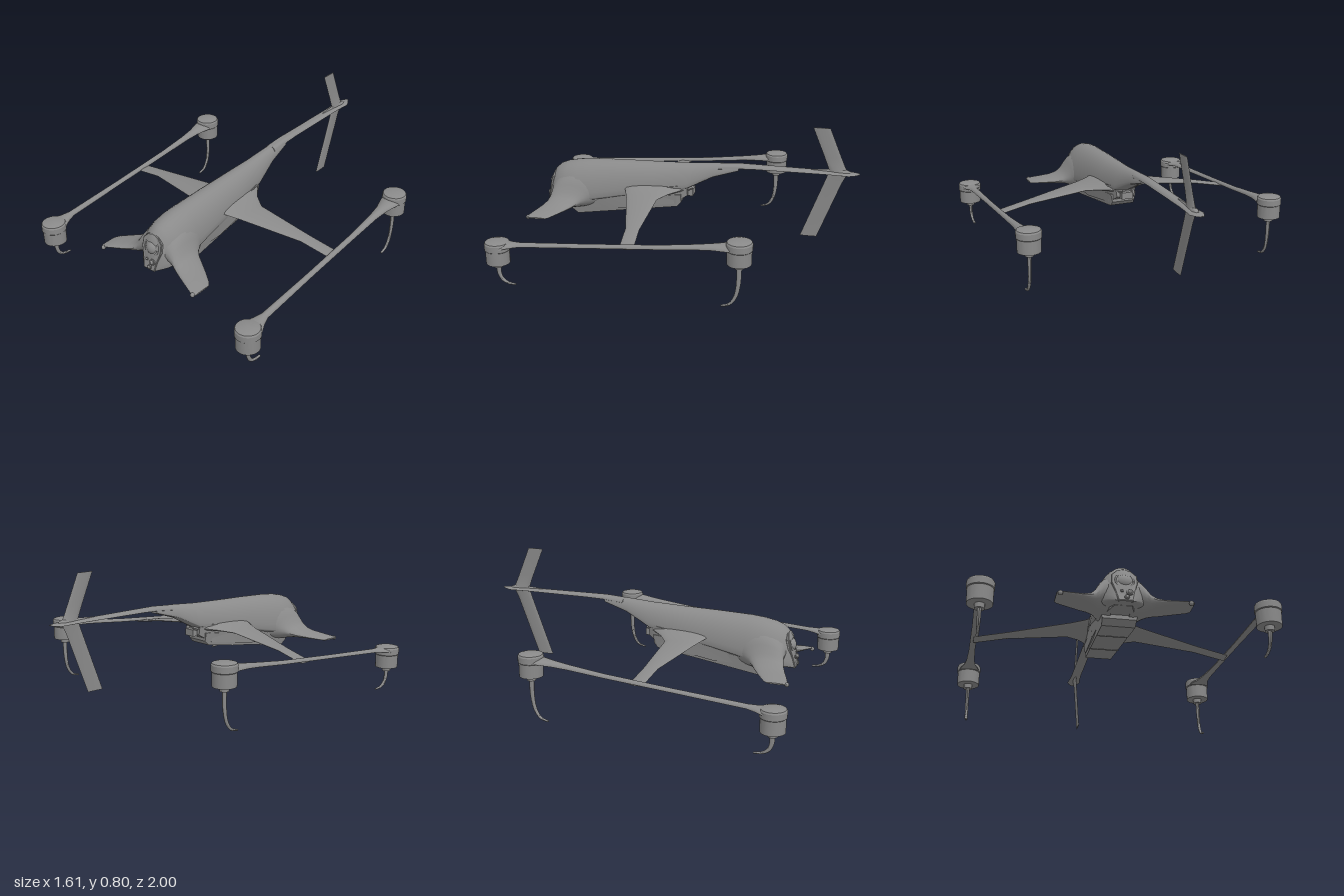
import * as THREE from 'three';
import { toCreasedNormals } from 'three/addons/utils/BufferGeometryUtils.js';

const material = new THREE.MeshStandardMaterial({ color: 0x8a8a8a });

function part(name, geometry, parent, x = 0, y = 0, z = 0) {
  const mesh = new THREE.Mesh(geometry, material);
  mesh.name = name;
  mesh.position.set(x, y, z);
  parent.add(mesh);
  return mesh;
}

// Skin a list of equal-length rings, cap both ends and face outwards.
function loft(rings, crease = 0.6) {
  const n = rings[0].length, pos = rings.flat(2), idx = [];
  for (let i = 0; i < rings.length - 1; i++) {
    for (let j = 0; j < n; j++) {
      const a = i * n + j, b = i * n + (j + 1) % n;
      idx.push(a, b, a + n, b, b + n, a + n);
    }
  }
  const last = (rings.length - 1) * n;
  for (let j = 1; j < n - 1; j++) idx.push(0, j + 1, j, last, last + j, last + j + 1);
  // signed volume decides the winding
  const p = (i) => new THREE.Vector3().fromArray(pos, i * 3);
  let volume = 0;
  for (let i = 0; i < idx.length; i += 3) volume += p(idx[i]).dot(p(idx[i + 1]).cross(p(idx[i + 2])));
  if (volume < 0) idx.reverse();
  const g = new THREE.BufferGeometry();
  g.setAttribute('position', new THREE.Float32BufferAttribute(pos, 3));
  g.setIndex(idx);
  return toCreasedNormals(g, crease);
}

// Domed section with a shallow underside: [z, top, bottom, halfWidth]
function domeRing([z, top, bottom, w], n = 40) {
  const base = bottom + (top - bottom) * 0.12;
  return Array.from({ length: n }, (_, i) => {
    const a = (i / n) * Math.PI * 2, s = Math.sin(a);
    return [w * Math.cos(a), base + s * (s > 0 ? top - base : base - bottom), z];
  });
}

// Box section: [z, top, bottom, halfWidthTop, halfWidthBottom]
const boxRing = ([z, top, bottom, wt, wb]) => [[wt, top, z], [-wt, top, z], [-wb, bottom, z], [wb, bottom, z]];

// Lens section: [x, zLeading, zTrailing, y, thickness]
function wingRing([x, zl, zt, y, t], n = 16) {
  return Array.from({ length: n }, (_, i) => {
    const a = (i / n) * Math.PI * 2;
    return [x, y + Math.sin(a) * t / 2, (zl + zt) / 2 + Math.cos(a) * (zl - zt) / 2];
  });
}

// Curved landing hook; dir gives the way the toe points along z.
function hookLeg(dir, height) {
  const curve = new THREE.CatmullRomCurve3([
    [0, 0, 0], [0, -height * 0.4, 0.002 * dir], [0, -height * 0.75, 0.018 * dir],
    [0, -height * 0.94, 0.05 * dir], [0, -height, 0.095 * dir],
  ].map((p) => new THREE.Vector3(...p)));
  const rings = [];
  for (let i = 0; i <= 20; i++) {
    const t = i / 20, c = curve.getPoint(t), d = curve.getTangent(t), r = 0.015 - 0.01 * t;
    rings.push(Array.from({ length: 12 }, (_, j) => {
      const a = (j / 12) * Math.PI * 2, u = r * Math.sin(a);
      return [c.x + (0.011 - 0.004 * t) * Math.cos(a), c.y - d.z * u, c.z + d.y * u];
    }));
  }
  return loft(rings);
}

// Motor pod with domed cap and small hub; origin at its bottom.
function motorPod(name, y, z, dir, parent) {
  const pod = new THREE.Group();
  pod.name = name;
  pod.position.set(0.735, y, z);
  const profile = [[0, -0.026], [0.025, -0.026], [0.026, 0], [0.066, 0], [0.067, 0.078], [0.071, 0.082],
    [0.071, 0.116], [0.066, 0.125], [0.045, 0.131], [0, 0.134]].map((p) => new THREE.Vector2(...p));
  part('motorHousing', toCreasedNormals(new THREE.LatheGeometry(profile, 40), 0.5), pod);
  part('landingHook', hookLeg(dir, y - 0.026), pod, 0, -0.02, 0);
  parent.add(pod);
}

function buildSide() {
  const side = new THREE.Group();
  part('mainWing', loft([
    [0.03, 0.40, -0.03, 0.39, 0.075], [0.08, 0.38, 0.04, 0.386, 0.055], [0.13, 0.36, 0.1, 0.376, 0.034],
    [0.2, 0.335, 0.15, 0.366, 0.024], [0.55, 0.24, 0.16, 0.322, 0.018], [0.735, 0.225, 0.145, 0.287, 0.012],
  ].map((r) => wingRing(r))), side);
  // Fore wing with a deep blended root
  part('foreWing', loft([
    [0.05, 0.84, 0.46, 0.35, 0.24], [0.1, 0.83, 0.54, 0.335, 0.19], [0.125, 0.83, 0.6, 0.315, 0.145],
    [0.145, 0.835, 0.635, 0.295, 0.1], [0.17, 0.843, 0.658, 0.282, 0.066], [0.21, 0.858, 0.682, 0.272, 0.044],
    [0.28, 0.885, 0.727, 0.262, 0.026], [0.34, 0.907, 0.77, 0.253, 0.016], [0.356, 0.898, 0.79, 0.25, 0.008],
  ].map((r) => wingRing(r, 24))), side);
  part('wingTipLamp', new THREE.SphereGeometry(0.013, 16, 12), side, 0.338, 0.247, 0.9);

  // Side beam flares where it grips each motor
  part('sideBeam', loft([
    [0.92, 0.258, 0.232, 0.066], [0.885, 0.26, 0.233, 0.062], [0.84, 0.262, 0.238, 0.038],
    [0.79, 0.264, 0.243, 0.022], [0.4, 0.293, 0.273, 0.017], [0, 0.326, 0.305, 0.018],
    [-0.2, 0.35, 0.326, 0.024], [-0.29, 0.362, 0.335, 0.034], [-0.37, 0.373, 0.343, 0.056], [-0.43, 0.376, 0.345, 0.064],
  ].map((r) => domeRing(r, 20).map(([x, y, z]) => [x + 0.735, y, z]))), side);

  motorPod('frontMotor', 0.134, 0.925, -1, side);
  motorPod('rearMotor', 0.263, -0.43, 1, side);
  return side;
}

export function createModel() {
  const model = new THREE.Group();
  model.name = 'aircraft';

  // Domed fuselage
  part('fuselage', loft([
    [0.872, 0.3, 0.24, 0.045], [0.86, 0.375, 0.24, 0.062], [0.845, 0.425, 0.242, 0.08], [0.825, 0.456, 0.245, 0.097],
    [0.795, 0.481, 0.248, 0.113], [0.75, 0.498, 0.255, 0.126], [0.68, 0.512, 0.262, 0.13],
    [0.6, 0.52, 0.275, 0.122], [0.4, 0.527, 0.315, 0.107], [0.2, 0.531, 0.35, 0.094],
    [0, 0.538, 0.39, 0.07], [-0.15, 0.549, 0.468, 0.046], [-0.3, 0.555, 0.515, 0.03],
  ].map((r) => domeRing(r))), model);

  // Flat tail boom with a wider, tapered end
  part('tailBoom', loft([
    [-0.18, 0.549, 0.52, 0.036], [-0.3, 0.557, 0.53, 0.033], [-0.4, 0.556, 0.533, 0.031], [-0.8, 0.551, 0.535, 0.031],
    [-0.87, 0.55, 0.535, 0.034], [-0.94, 0.55, 0.536, 0.041], [-0.975, 0.548, 0.538, 0.026], [-1, 0.546, 0.541, 0.01],
  ].map((r) => domeRing(r, 24))), model);

  // Swept upper and lower tail fin
  const fin = (name, rows) => part(name, loft(rows.map(([y, zl, zt, t]) =>
    wingRing([0, zl, zt, 0, t], 12).map(([, s, z]) => [s, y, z]))), model);
  fin('upperFin', [[0.54, -0.83, -0.935, 0.034], [0.575, -0.816, -0.917, 0.018], [0.63, -0.795, -0.893, 0.008], [0.805, -0.722, -0.82, 0.006]]);
  fin('lowerFin', [[0.55, -0.825, -0.935, 0.022], [0.48, -0.8, -0.9, 0.009], [0.135, -0.672, -0.77, 0.006]]);
  part('finFairing', loft([[-0.72, 0.554, 0.545, 0.003], [-0.84, 0.562, 0.54, 0.011],
    [-0.92, 0.564, 0.54, 0.02], [-0.95, 0.552, 0.54, 0.012]].map((r) => domeRing(r, 16))), model);

  // Angular belly, battery tray and rear connector
  part('belly', loft([
    [0.82, 0.29, 0.245, 0.06, 0.045], [0.7, 0.32, 0.245, 0.1, 0.085], [0.4, 0.37, 0.25, 0.105, 0.095],
    [0.08, 0.41, 0.3, 0.085, 0.08], [0, 0.42, 0.35, 0.065, 0.055],
  ].map(boxRing), 0.2), model);
  part('batteryTray', loft([
    [0.71, 0.26, 0.222, 0.1, 0.092], [0.675, 0.28, 0.194, 0.102, 0.09], [0.06, 0.36, 0.283, 0.085, 0.075], [0.035, 0.36, 0.31, 0.08, 0.07],
  ].map(boxRing), 0.2), model);
  part('rearConnector', new THREE.BoxGeometry(0.07, 0.04, 0.06), model, 0, 0.362, 0);
  for (const [z, y] of [[0.5, 0.2195], [0.25, 0.2555]]) {
    const strip = part('traySeam', new THREE.BoxGeometry(0.165, 0.005, 0.008), model, 0, y, z);
    strip.rotation.x = 0.14;
  }

  // Raked nose panel with main camera and small sensors
  const nose = new THREE.Group();
  nose.name = 'nosePanel';
  nose.position.set(0, 0.35, 0.851);
  nose.rotation.x = -0.24;
  model.add(nose);
  const outline = [[0, 0.1], [0.035, 0.09], [0.064, 0.06], [0.066, 0.01], [0.048, -0.05], [0.036, -0.108]];
  const mirrored = outline.slice(1).reverse().map(([x, y]) => [-x, y]);
  const shape = new THREE.Shape([...outline, ...mirrored].map((p) => new THREE.Vector2(...p)));
  part('panelPlate', new THREE.ExtrudeGeometry(shape, {
    depth: 0.01, bevelEnabled: true, bevelSize: 0.004, bevelThickness: 0.003, bevelSegments: 1,
  }), nose, 0, 0, -0.008);
  part('cameraRing', new THREE.TorusGeometry(0.047, 0.005, 12, 40), nose, 0, 0.022, 0.005);
  part('cameraLens', new THREE.SphereGeometry(0.045, 32, 20), nose, 0, 0.022, -0.018);
  for (const [x, y, r] of [[0.022, -0.058, 0.018], [0.006, -0.092, 0.013], [-0.018, -0.052, 0.008]]) {
    const barrel = part('sensorBarrel', new THREE.CylinderGeometry(r, r, 0.016, 24), nose, x, y, 0.006);
    barrel.rotation.x = Math.PI / 2;
    part('sensorLens', new THREE.SphereGeometry(r * 0.7, 16, 12), nose, x, y, 0.01);
  }

  // Mirrored wings, beams and motors
  const left = buildSide(), right = buildSide();
  left.name = 'leftSide';
  right.name = 'rightSide';
  right.scale.x = -1;
  model.add(left, right);
  return model;
}
